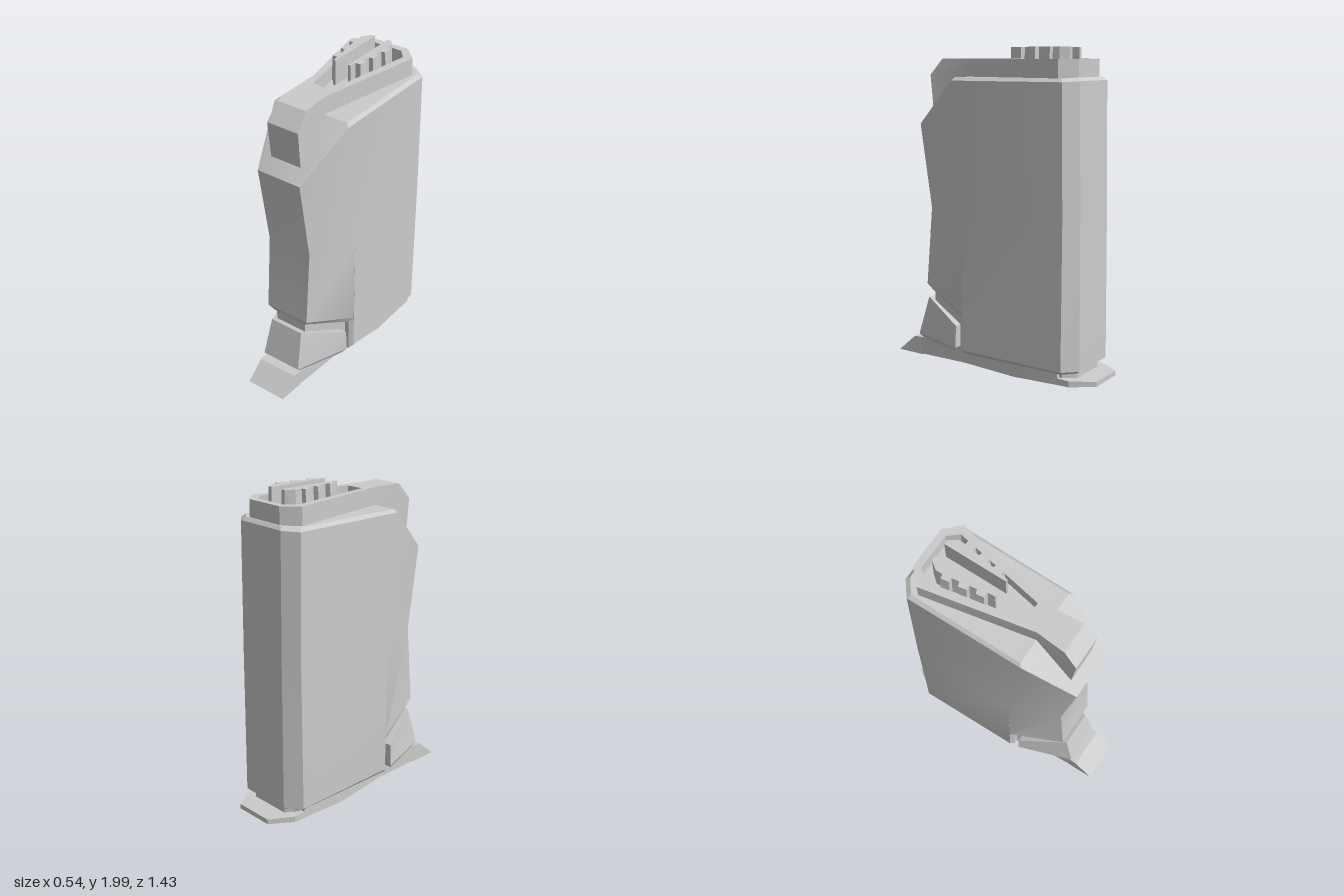
import * as THREE from 'three';
import { toCreasedNormals } from 'three/addons/utils/BufferGeometryUtils.js';

const material = new THREE.MeshStandardMaterial({ color: 0xcccccc });

// Mirrored shell: each column lists [x, y, z] from bottom to top on the left (+x)
// side; columns run front to back. Both ends are closed by strips across x.
function shell(name, columns) {
  const mirror = columns.map(col => col.map(([x, y, z]) => [-x, y, z]));
  const ring = [...columns, ...mirror.slice().reverse()];
  const rows = columns[0].length;
  const out = [];
  const tri = (...p) => {
    const [a, b, c] = p.map(q => new THREE.Vector3(...q));
    if (new THREE.Triangle(a, b, c).getArea() > 1e-6) p.forEach(q => out.push(...q));
  };
  const quad = (a, b, c, d) => { tri(a, b, c); tri(a, c, d); };
  ring.forEach((col, i) => {
    const next = ring[(i + 1) % ring.length];
    for (let r = 0; r < rows - 1; r++) quad(col[r], next[r], next[r + 1], col[r + 1]);
  });
  for (let i = 0; i < columns.length - 1; i++) {
    const t = rows - 1;
    quad(columns[i][t], columns[i + 1][t], mirror[i + 1][t], mirror[i][t]);
    quad(columns[i][0], mirror[i][0], mirror[i + 1][0], columns[i + 1][0]);
  }
  const geometry = new THREE.BufferGeometry();
  geometry.setAttribute('position', new THREE.Float32BufferAttribute(out, 3));
  const mesh = new THREE.Mesh(toCreasedNormals(geometry, 0.42), material);
  mesh.name = name;
  return mesh;
}

// Toothed rail inside the top recess, tapering slightly upwards
function rail(side) {
  const outline = [
    [0.045, -0.085], [0.062, -0.085], [0.067, -0.13], [0.105, -0.13], [0.113, -0.18],
    [0.082, -0.19], [0.09, -0.235], [0.122, -0.235], [0.132, -0.285], [0.1, -0.295],
    [0.108, -0.34], [0.138, -0.34], [0.147, -0.39], [0.117, -0.395], [0.117, -0.44],
    [0.075, -0.49], [0.045, -0.49]
  ];
  const shape = new THREE.Shape(outline.map(([x, z]) => new THREE.Vector2(side * x, -z)));
  let geometry = new THREE.ExtrudeGeometry(shape, { depth: 0.16, bevelEnabled: false });
  geometry.rotateX(-Math.PI / 2);
  const p = geometry.attributes.position;
  for (let i = 0; i < p.count; i++) {
    const reach = Math.abs(p.getX(i)) - 0.045;
    p.setX(i, side * (0.045 + reach * (1 - 0.12 * p.getY(i) / 0.16)));
  }
  geometry.computeVertexNormals();
  const mesh = new THREE.Mesh(geometry, material);
  mesh.name = side > 0 ? 'leftRail' : 'rightRail';
  mesh.position.y = 1.84;
  return mesh;
}

export function createModel() {
  const group = new THREE.Group();
  group.name = 'magazine';

  // Main body: waisted front, sloped shoulder, stepped notch at the bottom front
  const shoulder = [[0.27, 1, 0.14], [0.262, 1.8, 0.215], [0.245, 1.82, 0.2]];
  group.add(shell('body', [
    [[0.12, 0.46, 0.455], [0.15, 0.505, 0.48], [0.15, 1, 0.44], [0.15, 1.525, 0.52], [0.14, 1.555, 0.495]],
    [[0.24, 0.34, 0.16], [0.265, 0.37, 0.14], ...shoulder],
    [[0.24, 0.115, 0.16], [0.265, 0.14, 0.14], ...shoulder],
    [[0.245, 0.085, -0.53], [0.27, 0.105, -0.545], [0.27, 1, -0.55], [0.27, 1.8, -0.54], [0.245, 1.82, -0.525]],
    [[0.16, 0.08, -0.595], [0.18, 0.1, -0.625], [0.18, 1, -0.62], [0.18, 1.805, -0.61], [0.16, 1.825, -0.59]]
  ]));

  // Neck with open recess: outer wall, rim, inner wall, floor
  group.add(shell('neck', [
    [[0.105, 1.6, 0.45], [0.108, 1.83, 0.47], [0.1, 1.93, 0.385], [0.06, 1.93, 0.11], [0.06, 1.84, 0.11]],
    [[0.085, 1.78, 0.2], [0.085, 1.86, 0.2], [0.085, 1.93, 0.2], [0.064, 1.93, 0.09], [0.064, 1.84, 0.09]],
    [[0.225, 1.8, -0.49], [0.225, 1.86, -0.49], [0.225, 1.93, -0.49], [0.17, 1.93, -0.47], [0.17, 1.84, -0.47]],
    [[0.135, 1.8, -0.58], [0.135, 1.86, -0.58], [0.135, 1.93, -0.58], [0.115, 1.93, -0.535], [0.115, 1.84, -0.535]]
  ]));
  group.add(rail(1), rail(-1));

  // Block at the bottom front, set off from the body by a gap
  group.add(shell('toeBlock', [
    [[0.125, 0.135, 0.53], [0.135, 0.165, 0.557], [0.115, 0.41, 0.492]],
    [[0.235, 0.12, 0.22], [0.255, 0.145, 0.2], [0.25, 0.285, 0.2]]
  ]));

  // Recessed core filling the gap
  group.add(shell('core', [
    [[0.11, 0.12, 0.45], [0.11, 0.48, 0.445]],
    [[0.215, 0.1, 0.15], [0.215, 0.37, 0.15]]
  ]));

  // Base plate, thinned towards the rear lip
  group.add(shell('basePlate', [
    [[0.135, 0.03, 0.54], [0.135, 0.14, 0.54]],
    [[0.155, 0.025, 0.2], [0.155, 0.125, 0.2]],
    [[0.225, 0.015, -0.2], [0.225, 0.105, -0.2]],
    [[0.225, 0.012, -0.5], [0.225, 0.088, -0.5]],
    [[0.225, 0.012, -0.501], [0.225, 0.052, -0.501]],
    [[0.225, 0.01, -0.575], [0.225, 0.047, -0.575]],
    [[0.135, 0.01, -0.715], [0.135, 0.04, -0.715]]
  ]));
  group.add(shell('rearPlug', [
    [[0.2, 0.04, -0.48], [0.2, 0.1, -0.48]],
    [[0.2, 0.04, -0.52], [0.2, 0.1, -0.52]],
    [[0.14, 0.04, -0.59], [0.14, 0.1, -0.59]]
  ]));

  // Wedge-shaped toe
  group.add(shell('toe', [
    [[0.135, 0.035, 0.715], [0.135, 0.14, 0.595]],
    [[0.135, 0.025, 0.535], [0.135, 0.14, 0.535]]
  ]));

  group.position.y = -0.01;
  const root = new THREE.Group();
  root.name = 'model';
  root.add(group);
  return root;
}
